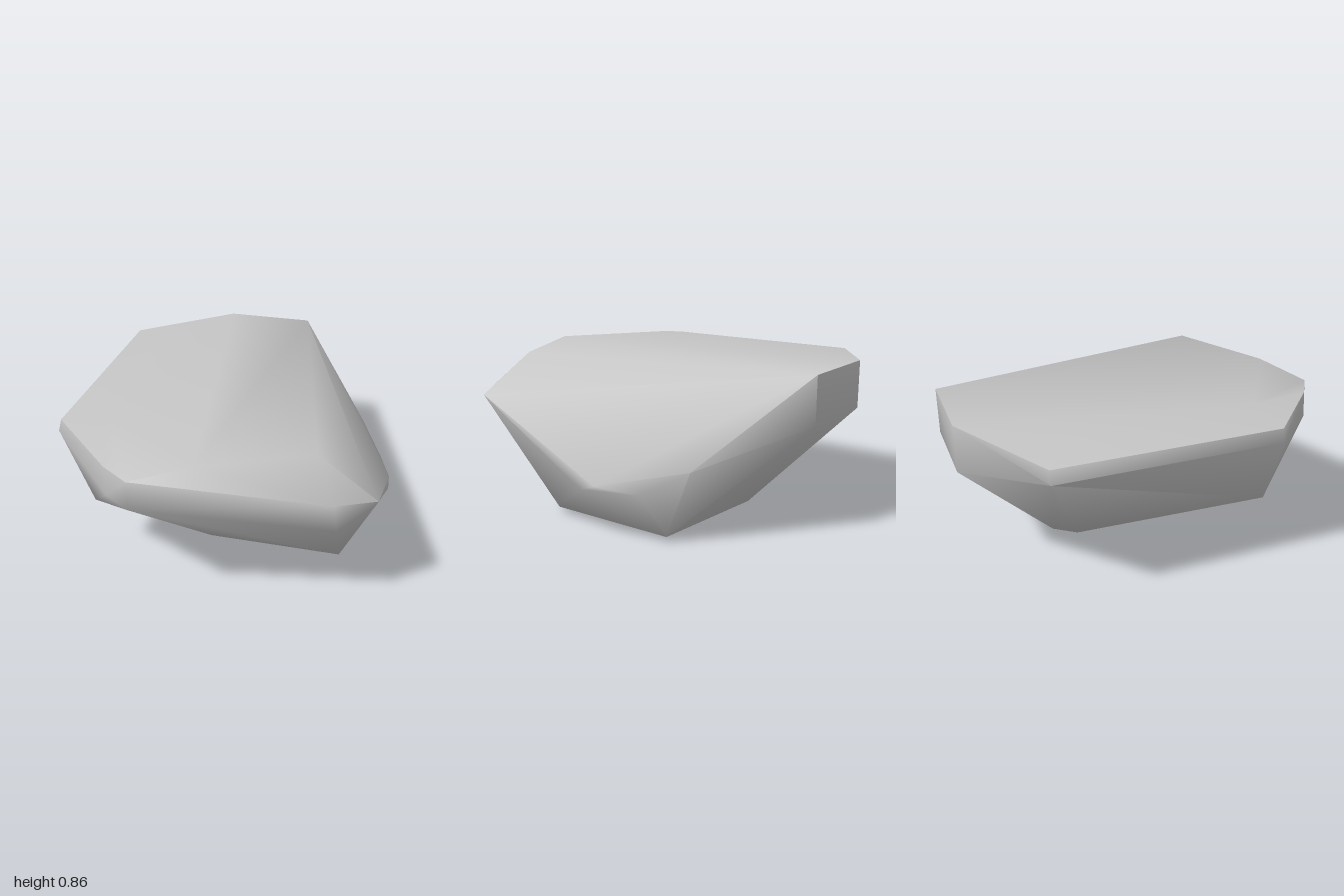
import * as THREE from 'three';
import { ConvexGeometry } from 'three/addons/geometries/ConvexGeometry.js';
import { toCreasedNormals } from 'three/addons/utils/BufferGeometryUtils.js';

// Corners of the boulder, grouped by where they sit (x, y, z)
const corners = {
  top: [
    [-0.3, 0.858, -1], [0.2, 0.858, -1], [0.53, 0.855, 0.62], [-0.02, 0.857, 0.87],
    [-0.6, 0.855, -0.62], [-0.6, 0.855, 0.5],
  ],
  leftRim: [
    [-0.84, 0.82, -0.67], [-0.86, 0.75, -0.67], [-0.84, 0.82, 0.54], [-0.86, 0.75, 0.54],
    [-0.69, 0.34, 0.55],
  ],
  frontRim: [
    [-0.31, 0.81, 1], [-0.31, 0.65, 1], [-0.46, 0.81, 0.9], [-0.45, 0.66, 0.92],
    [0.64, 0.68, 0.78], [0.66, 0.53, 0.77],
  ],
  rightRim: [
    [0.84, 0.66, 0.66], [0.86, 0.27, -0.05], [0.855, 0.3, -0.13], [0.79, 0.28, -0.36], [0.65, 0.4, -0.57],
  ],
  back: [[-0.3, 0.6, -1], [0.2, 0.6, -1]],
  underside: [
    [0.64, 0.03, 0.32], [-0.1, 0.03, 0.32], [0.64, 0.03, -0.42],
    [-0.09, 0.015, -0.46], [-0.18, 0.015, -0.34], [0.1, 0, -0.33],
  ],
};

export function createModel() {
  const group = new THREE.Group();
  group.name = 'rock';

  const stone = new THREE.MeshStandardMaterial({ color: 0xc5c5c5 });
  stone.name = 'stone grey';

  // One worn hull, soft over the bevels and sharp only at the steepest edges
  const points = Object.values(corners).flat().map((p) => new THREE.Vector3(...p));
  const hull = toCreasedNormals(new ConvexGeometry(points), THREE.MathUtils.degToRad(62));

  const boulder = new THREE.Mesh(hull, stone);
  boulder.name = 'boulder';
  group.add(boulder);
  return group;
}
